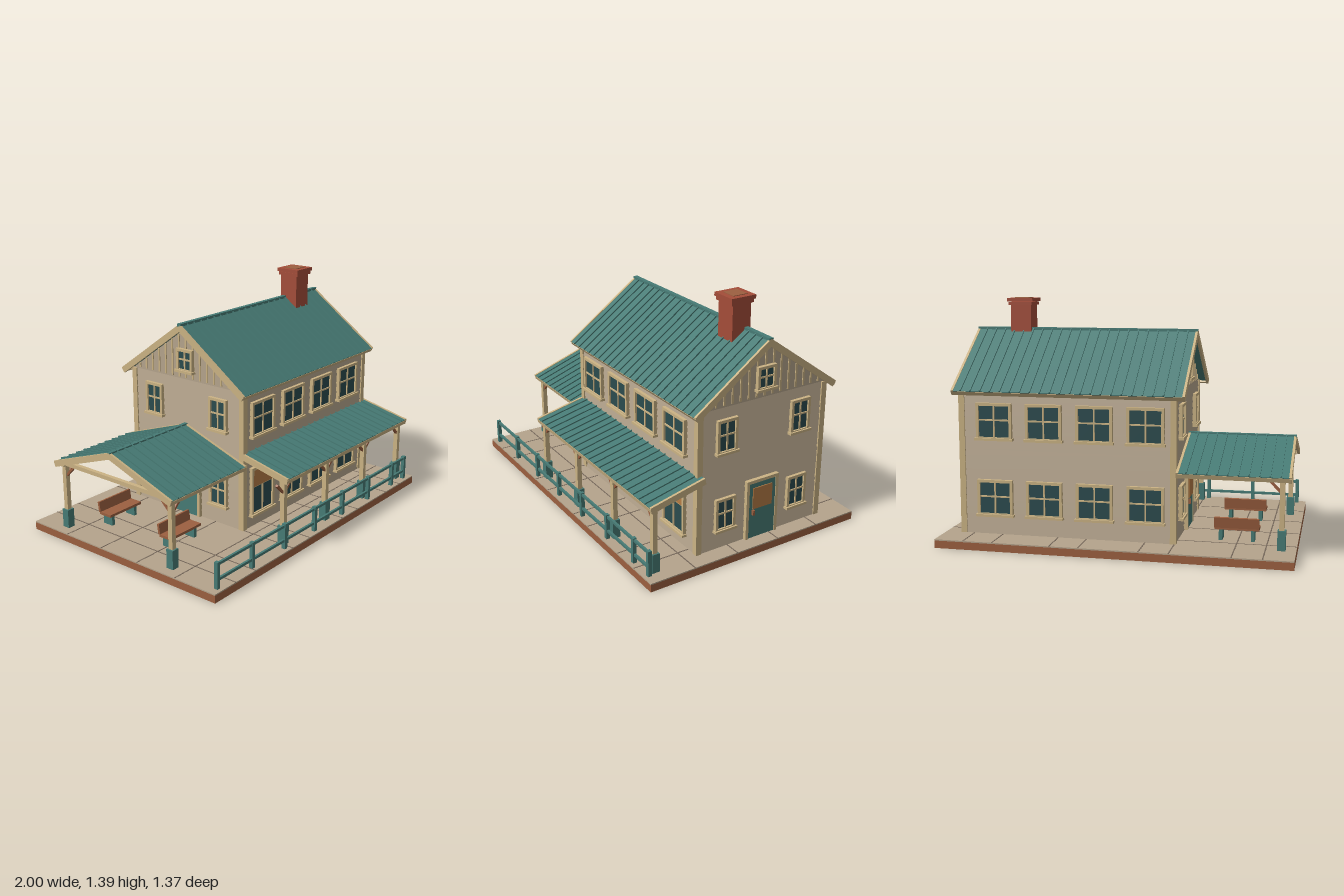
import * as THREE from 'three';

const mat = (name, color) => new THREE.MeshStandardMaterial({ name, color });
const M = {
  wall: mat('taupe siding', 0xb5a48c), trim: mat('tan trim', 0xcbb384), teal: mat('teal paint', 0x477b75),
  glass: mat('dark glass', 0x2b4b4e), brick: mat('brick', 0xa44d39), wood: mat('brown wood', 0x9c6040),
  amber: mat('amber panel', 0xb57c45), joint: mat('paving joint', 0x75675a),
};

const group = (name, parent, x = 0, y = 0, z = 0) => {
  const g = new THREE.Group();
  g.name = name;
  g.position.set(x, y, z);
  parent.add(g);
  return g;
};
const box = (parent, name, m, w, h, d, x, y, z) => {
  const b = new THREE.Mesh(new THREE.BoxGeometry(w, h, d), m);
  b.name = name;
  b.position.set(x, y, z);
  parent.add(b);
  return b;
};
// box given by its limits on each axis
const span = (parent, name, m, x0, x1, y0, y1, z0, z1) =>
  box(parent, name, m, x1 - x0, y1 - y0, z1 - z0, (x0 + x1) / 2, (y0 + y1) / 2, (z0 + z1) / 2);

const G = 0.05;                                  // paving level
const X0 = -0.34, X1 = 0.905, Z0 = -0.5, Z1 = 0.34;
const XC = (X0 + X1) / 2, ZC = -0.08, EAVE = 0.874;

// one roof slope falling towards local +z, with seams, verge boards and fascia
function roofSlope(parent, name, x0, x1, y, z, run, drop, turned) {
  const pivot = group(name, parent, (x0 + x1) / 2, y, z);
  pivot.rotation.y = turned ? Math.PI : 0;
  const g = group('slope', pivot);
  g.rotation.x = Math.atan2(drop, run);
  const w = x1 - x0, len = Math.hypot(run, drop), n = Math.round(w / 0.058);
  box(g, 'roofSheet', M.teal, w - 0.02, 0.016, len, 0, -0.008, len / 2);
  for (let i = 1; i < n; i++)
    box(g, 'roofSeam', M.teal, 0.007, 0.009, len, -w / 2 + (i * w) / n, 0.003, len / 2);
  for (const s of [-1, 1])
    box(g, 'vergeBoard', M.trim, 0.014, 0.036, len, s * (w / 2 - 0.007), -0.015, len / 2);
  box(g, 'fascia', M.trim, w, 0.025, 0.012, 0, -0.016, len - 0.004);
}

// window on a wall facing local +z, centred on its own origin
function windowUnit(parent, w, h, x, y, z, turn, blind = false) {
  const g = group('window', parent, x, y, z);
  g.rotation.y = turn;
  const c = 0.016;
  box(g, 'windowGlass', M.glass, w - c, h - c, 0.008, 0, 0, 0.007);
  for (const s of [-1, 1]) {
    box(g, 'windowCasing', M.trim, c, h, 0.022, s * (w - c) / 2, 0, 0.011);
    box(g, 'windowCasing', M.trim, w, c, 0.022, 0, s * (h - c) / 2, 0.011);
  }
  box(g, 'windowSill', M.trim, w + 0.014, 0.014, 0.032, 0, -h / 2 + 0.004, 0.016);
  box(g, 'mullion', M.trim, 0.009, h - c, 0.01, 0, 0, 0.012);
  box(g, 'mullion', M.trim, w - c, 0.009, 0.01, 0, blind ? 0.03 : h * 0.04, 0.012);
  if (blind) {
    const b = h / 2 - c - 0.03;
    box(g, 'windowBlind', M.amber, w - 2 * c, b, 0.006, 0, 0.03 + b / 2, 0.015);
  }
}

function door(parent, x, turn) {
  const g = group('door', parent, x, G, ZC);
  g.rotation.y = turn;
  box(g, 'doorLeaf', M.teal, 0.18, 0.345, 0.016, 0, 0.175, 0.012);
  box(g, 'doorPanel', M.amber, 0.13, 0.128, 0.006, 0, 0.245, 0.022);
  box(g, 'doorHandle', M.wood, 0.012, 0.03, 0.016, -0.062, 0.162, 0.026);
  for (const s of [-1, 1]) box(g, 'doorCasing', M.trim, 0.018, 0.355, 0.024, s * 0.098, 0.178, 0.012);
  box(g, 'doorCasing', M.trim, 0.214, 0.018, 0.024, 0, 0.348, 0.012);
}

// post with a painted base and diagonal braces along x (and optionally along z)
function post(parent, x, z, top, sides, zSide = 0) {
  const g = group('porchPost', parent, x, G, z);
  box(g, 'postShaft', M.trim, 0.028, top - G, 0.028, 0, (top - G) / 2, 0);
  box(g, 'postBase', M.teal, 0.045, 0.11, 0.045, 0, 0.055, 0);
  for (const s of sides)
    box(g, 'brace', M.wood, 0.085, 0.013, 0.015, s * 0.036, top - G - 0.034, 0).rotation.z = s * Math.PI / 4;
  if (zSide)
    box(g, 'brace', M.wood, 0.015, 0.013, 0.085, 0, top - G - 0.034, zSide * 0.036).rotation.x = -zSide * Math.PI / 4;
}

function bench(parent, x, z) {
  const g = group('bench', parent, x, G, z);
  box(g, 'benchSeat', M.wood, 0.25, 0.015, 0.085, 0, 0.07, 0.01);
  const back = box(g, 'benchBack', M.wood, 0.25, 0.06, 0.014, 0, 0.105, -0.038);
  back.rotation.x = -0.15;
  for (const s of [-1, 1]) box(g, 'benchLeg', M.teal, 0.02, 0.065, 0.07, s * 0.09, 0.0325, 0.005);
}

export function createModel() {
  const model = new THREE.Group();
  model.name = 'stationHouse';

  // platform with paving
  const platform = group('platform', model);
  span(platform, 'platformBase', M.wood, -1, 1, 0, 0.043, -0.685, 0.685);
  span(platform, 'paving', M.wall, -1, 1, 0.043, G, -0.685, 0.685);
  for (const x of [-0.835, -0.67, -0.335, -0.17, 0.165, 0.33, 0.66, 0.83])
    box(platform, 'pavingJoint', M.joint, 0.007, 0.002, 1.37, x, G, 0);
  for (const z of [-0.41, -0.137, 0.137, 0.41])
    box(platform, 'pavingJoint', M.joint, 2, 0.002, 0.007, 0, G, z);

  // lapped siding: every course flares out towards its lower edge
  const house = group('house', model);
  const courses = 22, ch = (EAVE - G) / courses;
  const course = new THREE.BoxGeometry(X1 - X0 - 0.012, ch, Z1 - Z0 - 0.012);
  const p = course.attributes.position;
  for (let i = 0; i < p.count; i++)
    if (p.getY(i) < 0) p.setXYZ(i, p.getX(i) + Math.sign(p.getX(i)) * 0.006, p.getY(i), p.getZ(i) + Math.sign(p.getZ(i)) * 0.006);
  course.computeVertexNormals();
  for (let i = 0; i < courses; i++) {
    const c = new THREE.Mesh(course, M.wall);
    c.name = 'sidingCourse';
    c.position.set(XC, G + (i + 0.5) * ch, (Z0 + Z1) / 2);
    house.add(c);
  }
  for (const x of [X0 + 0.012, X1 - 0.012])
    for (const z of [Z0 + 0.012, Z1 - 0.012])
      box(house, 'cornerBoard', M.trim, 0.034, EAVE - G, 0.034, x, (EAVE + G) / 2, z);

  // gables with upright battens
  const half = 0.42, pitch = 0.33 / 0.46;
  const tri = new THREE.Shape([new THREE.Vector2(-half, 0), new THREE.Vector2(half, 0), new THREE.Vector2(0, half * pitch)]);
  const gable = new THREE.Mesh(new THREE.ExtrudeGeometry(tri, { depth: X1 - X0 - 0.008, bevelEnabled: false }), M.wall);
  gable.name = 'gable';
  gable.rotation.y = Math.PI / 2;
  gable.position.set(X0 + 0.004, EAVE, ZC);
  house.add(gable);
  for (const x of [X0 + 0.003, X1 - 0.003])
    for (let i = -7; i <= 7; i++) {
      const h = (half - Math.abs(i * 0.052)) * pitch - 0.012;
      box(house, 'gableBatten', M.trim, 0.008, h, 0.011, x, EAVE + 0.01 + h / 2, ZC + i * 0.052);
    }

  // windows and doors
  for (const x of [-0.174, 0.116, 0.407, 0.698]) {
    windowUnit(house, 0.21, 0.21, x, 0.702, Z1 - 0.004, 0);
    windowUnit(house, 0.21, 0.295, x, 0.268, Z1 - 0.004, 0, true);
    windowUnit(house, 0.21, 0.21, x, 0.702, Z0 + 0.004, Math.PI);
    windowUnit(house, 0.21, 0.21, x, 0.262, Z0 + 0.004, Math.PI);
  }
  for (const [x, turn] of [[X1 - 0.004, Math.PI / 2], [X0 + 0.004, -Math.PI / 2]]) {
    for (const z of [ZC - 0.243, ZC + 0.243]) {
      windowUnit(house, 0.13, 0.195, x, 0.715, z, turn);
      windowUnit(house, 0.13, 0.195, x, 0.256, z, turn);
    }
    windowUnit(house, 0.12, 0.135, x, 0.988, ZC, turn);
    door(house, x, turn);
  }

  // main roof
  const roof = group('mainRoof', model);
  for (const t of [false, true]) roofSlope(roof, 'mainSlope', -0.395, 0.94, 1.205, ZC, 0.462, 0.331, t);
  span(roof, 'ridgeCap', M.teal, -0.395, 0.94, 1.193, 1.211, ZC - 0.013, ZC + 0.013);

  // chimney
  const chimney = group('chimney', model, 0.665, 0, -0.048);
  box(chimney, 'chimneyStack', M.brick, 0.125, 0.25, 0.118, 0, 1.225, 0);
  box(chimney, 'chimneyBand', M.brick, 0.142, 0.018, 0.142, 0, 1.351, 0);
  box(chimney, 'chimneyCap', M.brick, 0.156, 0.021, 0.156, 0, 1.373, 0);
  box(chimney, 'chimneyTop', M.wood, 0.09, 0.006, 0.09, 0, 1.384, 0);

  // front porch
  const porch = group('frontPorch', model);
  roofSlope(porch, 'porchRoof', -0.345, 0.945, 0.522, 0.318, 0.33, 0.075, false);
  span(porch, 'porchBeam', M.trim, -0.34, 0.935, 0.415, 0.44, 0.593, 0.621);
  for (const x of [-0.32, 0.09, 0.5, 0.905]) {
    post(porch, x, 0.607, 0.42, x > 0.9 ? [-1] : [-1, 1]);
    const rafter = box(porch, 'porchRafter', M.trim, 0.018, 0.02, 0.28, x, 0.464, 0.47);
    rafter.rotation.x = Math.atan2(0.075, 0.33);
  }

  // side shelter with benches
  const shelter = group('sideShelter', model);
  for (const t of [false, true]) roofSlope(shelter, 'shelterSlope', -0.968, -0.345, 0.61, ZC, 0.447, 0.155, t);
  span(shelter, 'ridgeCap', M.teal, -0.968, -0.345, 0.6, 0.615, ZC - 0.011, ZC + 0.011);
  for (const [z, s] of [[0.325, -1], [-0.485, 1]]) {
    span(shelter, 'shelterBeam', M.trim, -0.95, -0.345, 0.428, 0.455, z - 0.014, z + 0.014);
    post(shelter, -0.92, z, 0.43, [1], s);
  }
  span(shelter, 'tieBeam', M.trim, -0.932, -0.908, 0.43, 0.453, -0.485, 0.325);
  bench(shelter, -0.663, 0.14);
  bench(shelter, -0.663, -0.33);

  // railing along the front edge
  const railing = group('railing', model);
  for (const x of [-0.944, -0.656, -0.367, -0.079, 0.209, 0.497, 0.78, 0.93])
    box(railing, 'railPost', M.teal, 0.022, 0.15, 0.022, x, G + 0.075, 0.652);
  for (const y of [0.1, 0.187]) box(railing, 'rail', M.teal, 1.88, 0.015, 0.013, -0.006, y, 0.652);

  return model;
}
